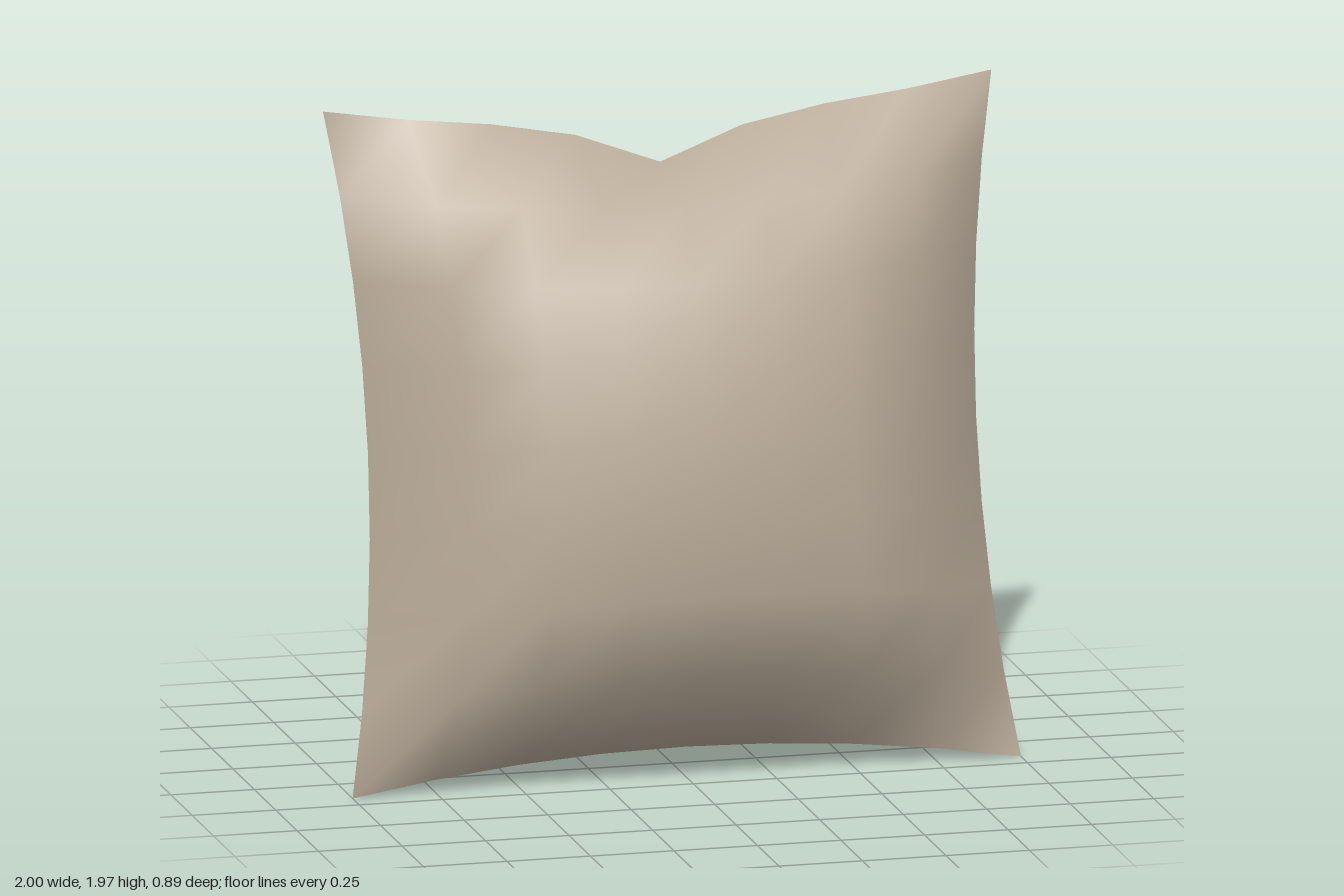
import * as THREE from 'three';

const SEGMENTS = 8; // faceted grid of each fabric panel
const PINCH = 0.09; // how far the middle of each seam is drawn in
const TILT = THREE.MathUtils.degToRad(-10);

// One inflated panel: a square grid pulled in along its seams and puffed outward.
function panelGeometry(depth, facing) {
  const geometry = new THREE.PlaneGeometry(2, 2, SEGMENTS, SEGMENTS);
  if (facing < 0) geometry.rotateY(Math.PI);
  const p = geometry.attributes.position;
  for (let i = 0; i < p.count; i++) {
    const u = p.getX(i), v = p.getY(i);
    const a = Math.max(0, 1 - u * u), b = Math.max(0, 1 - v * v);
    let y = v * (1 - PINCH * a);
    // Chopped notch in the middle of the top seam
    if (v > 0.99) y -= 0.117 * Math.max(0, 1 - Math.abs(u) / 0.5) ** 2;
    p.setXYZ(i, u * (1 - PINCH * b), y, facing * depth * Math.sqrt(a * b));
  }
  geometry.computeVertexNormals();
  return geometry;
}

export function createModel() {
  const model = new THREE.Group();
  model.name = 'cushion';
  const fabric = new THREE.MeshStandardMaterial({ color: 0xb8aa98, side: THREE.DoubleSide });

  // Front and back panels meet in a sharp seam
  const body = new THREE.Group();
  body.name = 'cushionBody';
  for (const [name, depth, facing] of [['frontPanel', 0.428, 1], ['backPanel', 0.42, -1]]) {
    const panel = new THREE.Mesh(panelGeometry(depth, facing), fabric);
    panel.name = name;
    body.add(panel);
  }

  // Lean back, with the lower corners on the ground
  body.rotation.x = TILT;
  body.position.y = Math.cos(TILT);
  model.add(body);
  return model;
}
